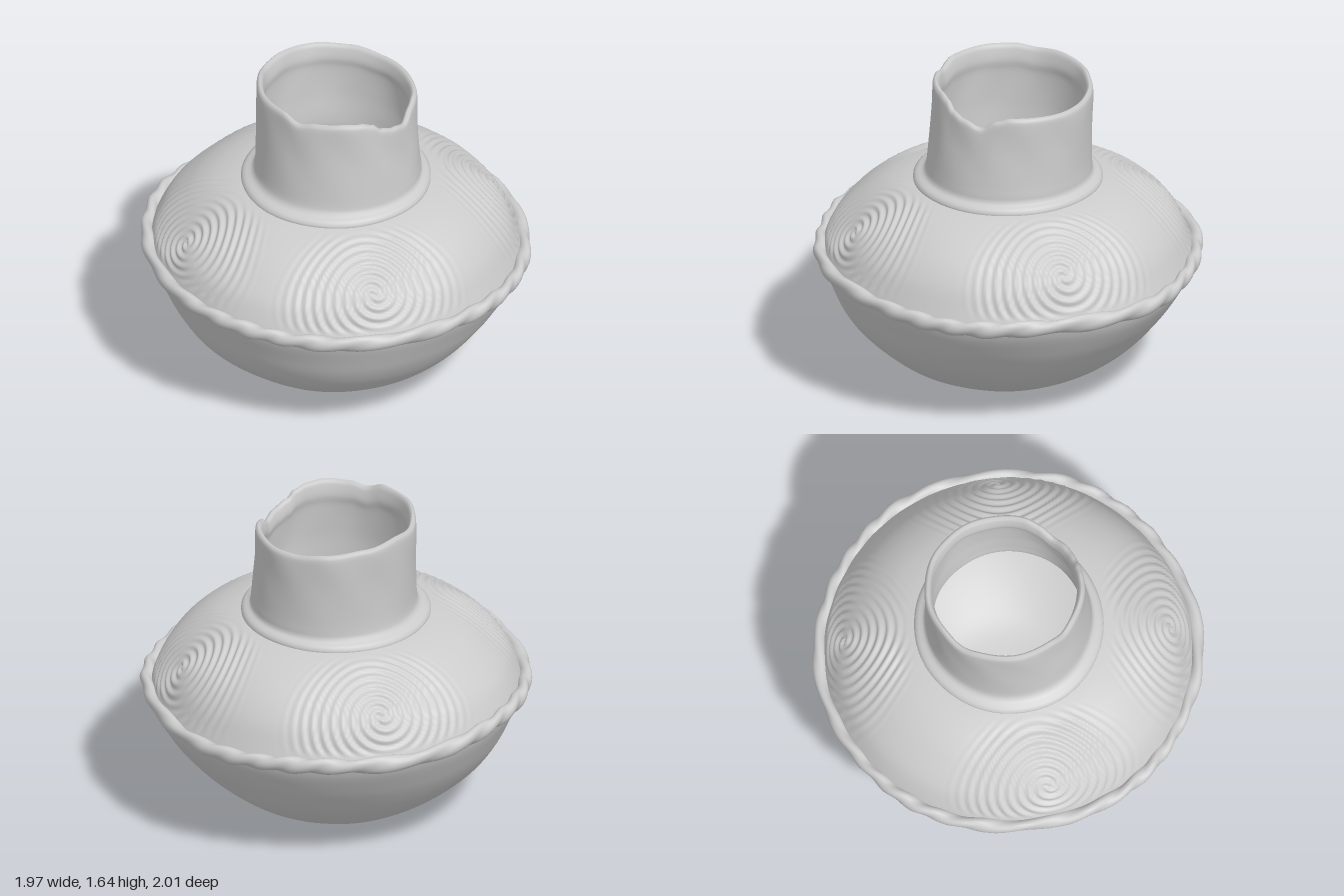
import * as THREE from 'three';
import { mergeVertices } from 'three/addons/utils/BufferGeometryUtils.js';

const clay = new THREE.MeshStandardMaterial({ color: 0xcccccc });
const smooth = THREE.MathUtils.smoothstep;

// Move every vertex by a rule, then weld the seam and rebuild smooth normals.
function reshape(geometry, rule) {
  const p = geometry.attributes.position;
  for (let i = 0; i < p.count; i++) {
    const a = Math.atan2(p.getX(i), p.getZ(i));
    const [r, h, dx = 0, dz = 0] = rule(Math.hypot(p.getX(i), p.getZ(i)), p.getY(i), a);
    p.setXYZ(i, r * Math.sin(a) + dx, h, r * Math.cos(a) + dz);
  }
  geometry.deleteAttribute('uv');
  geometry.deleteAttribute('normal');
  const welded = mergeVertices(geometry, 1e-5);
  welded.computeVertexNormals();
  return welded;
}

// Turn a smooth profile, given as [radius, height] pairs, around the y axis.
function turned(name, profile, rows, segments, rule) {
  const curve = new THREE.SplineCurve(profile.map(([r, y]) => new THREE.Vector2(r, y)));
  const points = curve.getSpacedPoints(rows);
  points.forEach(p => { p.x = Math.max(p.x, 0); });
  const mesh = new THREE.Mesh(reshape(new THREE.LatheGeometry(points, segments), rule), clay);
  mesh.name = name;
  return mesh;
}

// Gentle hand-made unevenness.
const wobble = (a, y) => 0.004 * Math.sin(3 * a + 5 * y) + 0.002 * Math.sin(7 * a - 9 * y);
// The seam between the halves dips towards +x.
const seamTilt = a => -0.027 * Math.sin(a) + 0.006 * Math.sin(5 * a + 1);

// Broken rim: [angle in degrees, height], angle 0 at the front and 90 at +x.
const rimPoints = [
  [0, 1.625], [9, 1.605], [16, 1.565], [28, 1.54], [42, 1.512], [54, 1.56], [65, 1.58],
  [100, 1.575], [125, 1.58], [150, 1.6], [180, 1.62], [208, 1.635], [228, 1.625], [245, 1.642],
  [270, 1.645], [298, 1.645], [313, 1.61], [325, 1.628], [345, 1.635], [360, 1.625],
];
function rimHeight(a) {
  const deg = (THREE.MathUtils.radToDeg(a) + 360) % 360;
  const i = Math.max(1, rimPoints.findIndex(p => p[0] >= deg));
  const [a0, h0] = rimPoints[i - 1], [a1, h1] = rimPoints[i];
  return h0 + (h1 - h0) * smooth(deg, a0, a1);
}

// Four spirals pressed into the shoulder: angles of their centres.
const spiralAngles = [-0.08, 1.5, 3.02, -1.47];
function spiralRelief(r, y, a) {
  let relief = 0;
  const v = Math.sign(y - 0.88) * Math.hypot(r - 0.83, y - 0.88);
  for (const centre of spiralAngles) {
    const da = Math.atan2(Math.sin(a - centre), Math.cos(a - centre));
    const u = 0.83 * da, d = Math.hypot(u, v);
    const fade = 1 - smooth(d, 0.33, 0.56);
    relief += 0.006 * fade * Math.cos(2 * Math.PI * d / 0.05 - 2 * Math.atan2(v, u));
  }
  return relief * smooth(y, 0.71, 0.76) * (1 - smooth(y, 1.035, 1.075));
}

export function createModel() {
  const pot = new THREE.Group();
  pot.name = 'pot';

  // Rounded lower bowl, a little fuller towards the front on the -x side
  pot.add(turned('bowl', [
    [0, 0.002], [0.19, 0.008], [0.33, 0.03], [0.45, 0.07], [0.56, 0.13], [0.67, 0.215],
    [0.765, 0.31], [0.845, 0.42], [0.9, 0.52], [0.945, 0.61], [0.965, 0.67],
  ], 44, 128, (r, y, a) => {
    const bulge = 0.016 * smooth(y, 0, 0.12) * (1 - smooth(y, 0.3, 0.62));
    return [
      r + wobble(a, y) * smooth(r, 0.1, 0.5), y + seamTilt(a) * smooth(y, 0.3, 0.65),
      -bulge, bulge,
    ];
  }));

  // Domed shoulder with spiral grooves
  pot.add(turned('shoulder', [
    [0.95, 0.67], [0.925, 0.73], [0.886, 0.81], [0.845, 0.868], [0.79, 0.925], [0.72, 0.98],
    [0.64, 1.025], [0.56, 1.055], [0.49, 1.073], [0.42, 1.085],
  ], 84, 420, (r, y, a) => {
    const relief = spiralRelief(r, y, a), slope = smooth(r, 0.4, 1);
    return [
      r + relief * (0.4 + 0.6 * slope) + wobble(a, y) * 0.7,
      y + relief * (1 - 0.6 * slope) + seamTilt(a) * (1 - smooth(y, 0.7, 0.95)),
    ];
  }));

  // Collar, neck, broken lip and the inside wall down to the floor
  pot.add(turned('neckAndInside', [
    [0.475, 1.055], [0.485, 1.082], [0.464, 1.105], [0.432, 1.12], [0.423, 1.16], [0.417, 1.25],
    [0.411, 1.4], [0.41, 1.55], [0.406, 1.588], [0.395, 1.6], [0.38, 1.59], [0.367, 1.52],
    [0.378, 1.46], [0.385, 1.3], [0.385, 1.12], [0.43, 1.05], [0.6, 0.98], [0.76, 0.86],
    [0.87, 0.69], [0.8, 0.47], [0.62, 0.27], [0.4, 0.12], [0.2, 0.07], [0, 0.06],
  ], 170, 144, (r, y, a) => {
    const lift = Math.max(0, y - 1.15) * (rimHeight(a) - 1.6) / 0.45;
    const lean = smooth(y, 1.1, 1.6);
    const fine = 0.002 * Math.sin(9 * a + 14 * y) * lean;
    return [
      r + fine + wobble(a, y) * 0.5, y + lift,
      0.012 * smooth(y, 1.08, 1.16), 0.004 - 0.024 * lean,
    ];
  }));

  // Twisted cord of clay pressed flat over the seam
  const strands = 26, radius = 0.957, cord = new THREE.TorusGeometry(radius, 0.036, 18, 420);
  cord.rotateX(Math.PI / 2);
  const band = new THREE.Mesh(reshape(cord, (r, y, a) => {
    const turn = Math.atan2(y, r - radius);
    const twist = Math.cos(2 * turn - strands * a + 2.5 * Math.sin(4 * a));
    const size = 0.035 + 0.005 * twist + 0.002 * Math.sin(13 * a);
    return [
      radius + size * Math.cos(turn) + 0.006 * Math.sin(6 * a + 2),
      0.678 + 1.2 * size * Math.sin(turn) + 0.2 * size * Math.cos(turn) + seamTilt(a),
    ];
  }), clay);
  band.name = 'ropeBand';
  pot.add(band);

  return pot;
}
